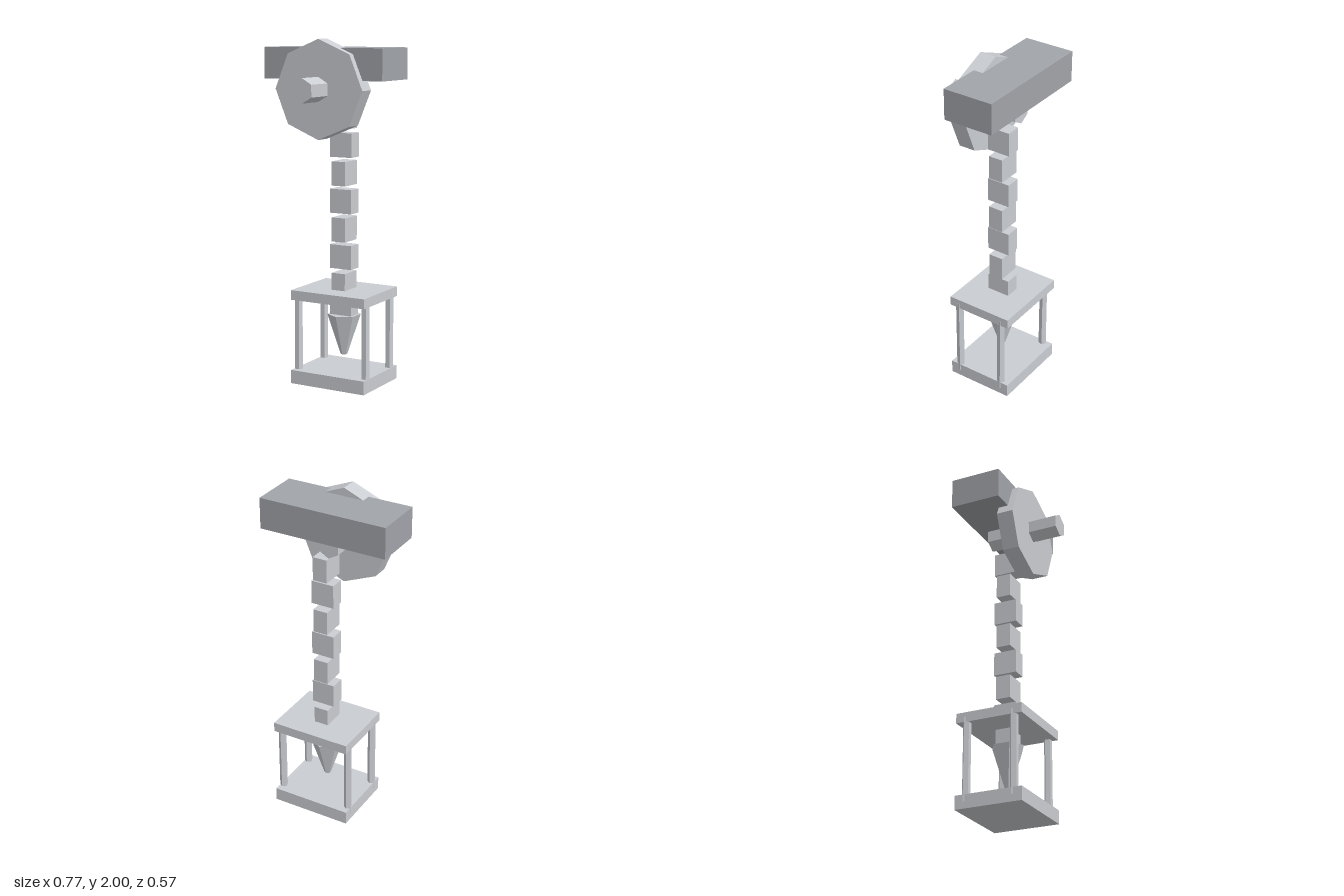
import * as THREE from 'three';

export function createModel() {
  const model = new THREE.Group();
  model.name = 'hangingLantern';
  const iron = new THREE.MeshStandardMaterial({ name: 'light iron', color: 0xcacdd2, flatShading: true });
  const darkIron = new THREE.MeshStandardMaterial({ name: 'dark iron', color: 0xa1a4a9, flatShading: true });

  function add(name, geometry, material, x, y, z, parent = model) {
    const mesh = new THREE.Mesh(geometry, material);
    mesh.name = name;
    mesh.position.set(x, y, z);
    parent.add(mesh);
    return mesh;
  }

  // Support beam, octagonal wheel and its hexagonal axle
  add('supportBeam', new THREE.BoxGeometry(0.766, 0.18, 0.302), darkIron, 0, 1.861, -0.082);
  add('wheel', new THREE.CylinderGeometry(0.282, 0.282, 0.1, 8).rotateX(Math.PI / 2), iron, 0, 1.718, 0.06);
  add('axle', new THREE.CylinderGeometry(0.07, 0.07, 0.443, 6).rotateX(Math.PI / 2), iron, 0, 1.72, 0.0625);

  // Everything below hangs on one vertical axis
  const hanging = new THREE.Group();
  hanging.name = 'hangingAssembly';
  hanging.position.set(0.061, 0, -0.081);
  model.add(hanging);

  // Chain of links, each turned a quarter from the one above
  const linkGeometry = new THREE.BoxGeometry(0.088, 0.14, 0.14);
  for (let i = 0; i < 8; i++) {
    const link = add('chainLink', linkGeometry, iron, 0, 1.56 - i * 0.1622, 0, hanging);
    link.rotation.y = (i % 2) * Math.PI / 2;
  }

  // Tapered core inside the cage
  add('core', new THREE.CylinderGeometry(0.098, 0.02, 0.24, 6), iron, 0, 0.285, 0, hanging);

  // Cage: two plates and four five-sided posts
  add('cageTop', new THREE.BoxGeometry(0.484, 0.057, 0.403), iron, 0, 0.528, -0.002, hanging);
  add('cageBase', new THREE.BoxGeometry(0.484, 0.08, 0.403), iron, 0, 0.04, -0.002, hanging);
  const postGeometry = new THREE.CylinderGeometry(0.024, 0.024, 0.49, 5).rotateY(Math.PI);
  for (const sx of [-1, 1])
    for (const sz of [-1, 1])
      add('cagePost', postGeometry, iron, sx * 0.2222, 0.285, sz * 0.145, hanging);

  return model;
}
